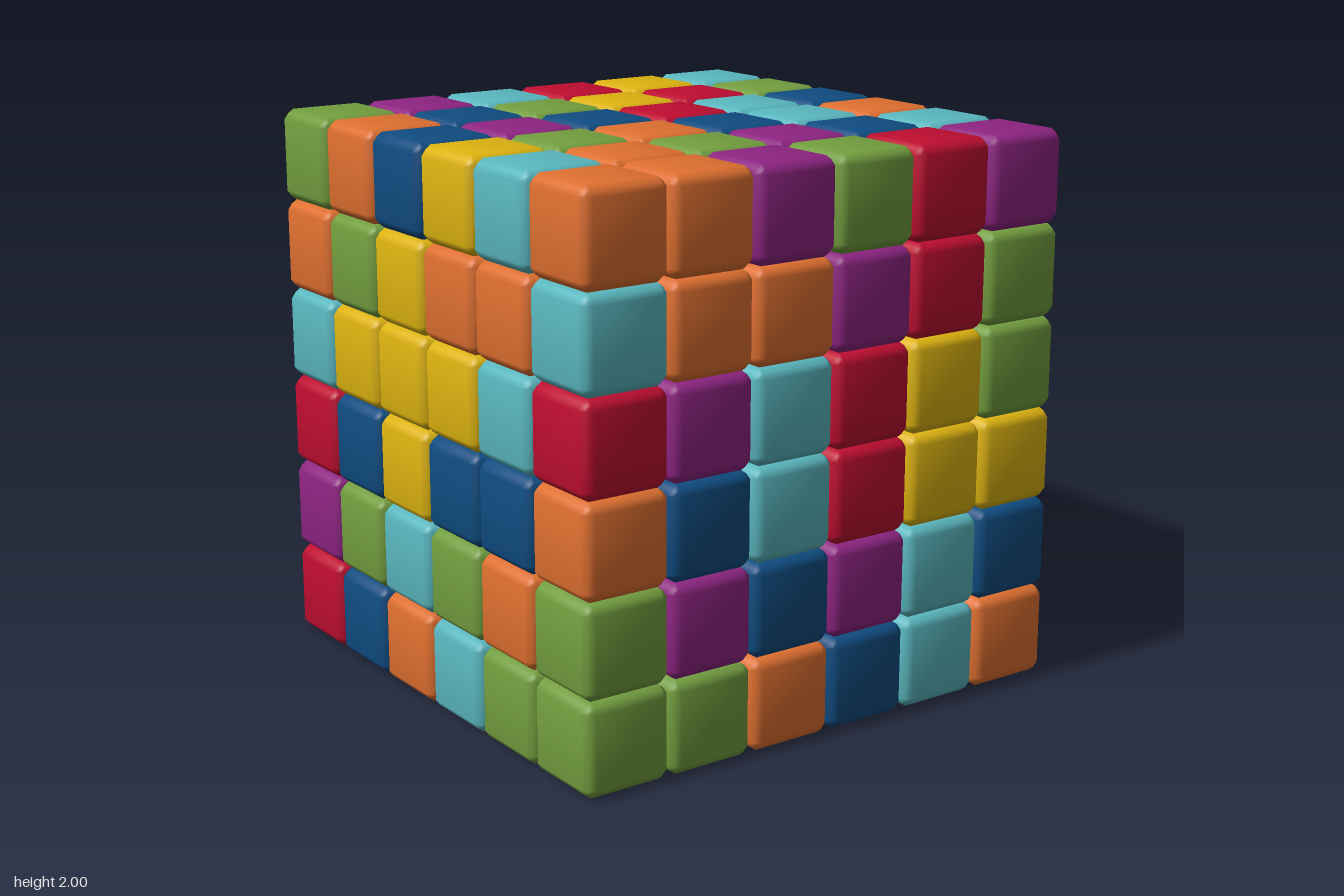
import * as THREE from 'three';

const N = 6, SIZE = 2 / N, HALF = SIZE / 2, BEVEL = 0.036;

// Colour of every block: one line per layer from the bottom up,
// rows from back to front, letters from right to left of the model (-x to +x)
const LAYERS = [
  'RRGGYR BPGOYP OOYRTB TBPRYT GPBBPO GGOBTO',
  'POGPBY G....B T....G G....P O....P GPBPTB',
  'RGOBTG B....P Y....R B....Y B....T OBTRYY',
  'TPBPTO Y....O Y....R Y....Y T....O RPTRYG',
  'OBTRYB G....Y Y....T O....R O....R TOOPRG',
  'GPTRYT OBGYRG BPBRTB YGOBTO TOGPBT OOPGRP',
];

const COLORS = {
  O: ['orange', 0xe07030],
  P: ['purple', 0x8e2482],
  G: ['green', 0x739f3f],
  R: ['red', 0xbf0d30],
  Y: ['yellow', 0xdeb410],
  B: ['blue', 0x0f4c81],
  T: ['teal', 0x5ab8c0],
};

// Cube with a narrow bevel on all edges and soft, pillow-like normals
function bevelledCube() {
  const geo = new THREE.BoxGeometry(SIZE, SIZE, SIZE, 3, 3, 3);
  const pos = geo.attributes.position, nor = geo.attributes.normal;
  for (let i = 0; i < pos.count; i++) {
    const p = [pos.getX(i), pos.getY(i), pos.getZ(i)];
    const outer = p.map((v) => Math.abs(v) > HALF * 0.9);
    const count = outer.filter(Boolean).length;
    // face points stay on the surface, edge and corner points are pulled in
    const reach = HALF - [0, 0, 0.42, 0.6][count] * BEVEL;
    const q = p.map((v, k) => Math.sign(v) * (outer[k] ? reach : HALF - BEVEL));
    const n = new THREE.Vector3(...p.map((v, k) => Math.sign(v) * (outer[k] ? 1 : 0.15))).normalize();
    pos.setXYZ(i, ...q);
    nor.setXYZ(i, n.x, n.y, n.z);
  }
  return geo;
}

export function createModel() {
  const model = new THREE.Group();
  model.name = 'blockCube';

  const materials = {};
  for (const [key, [name, color]] of Object.entries(COLORS)) {
    materials[key] = new THREE.MeshStandardMaterial({ color });
    materials[key].name = name;
  }

  // Shell of blocks; the hidden core is left empty
  const cube = bevelledCube();
  LAYERS.forEach((layer, y) => {
    const group = new THREE.Group();
    group.name = `layer${y + 1}`;
    group.position.y = (y + 0.5) * SIZE;
    layer.split(' ').forEach((row, z) => {
      [...row].forEach((key, x) => {
        if (key === '.') return;
        const block = new THREE.Mesh(cube, materials[key]);
        block.name = `${COLORS[key][0]}Block`;
        block.position.set((x + 0.5) * SIZE - 1, 0, (z + 0.5) * SIZE - 1);
        group.add(block);
      });
    });
    model.add(group);
  });
  return model;
}
